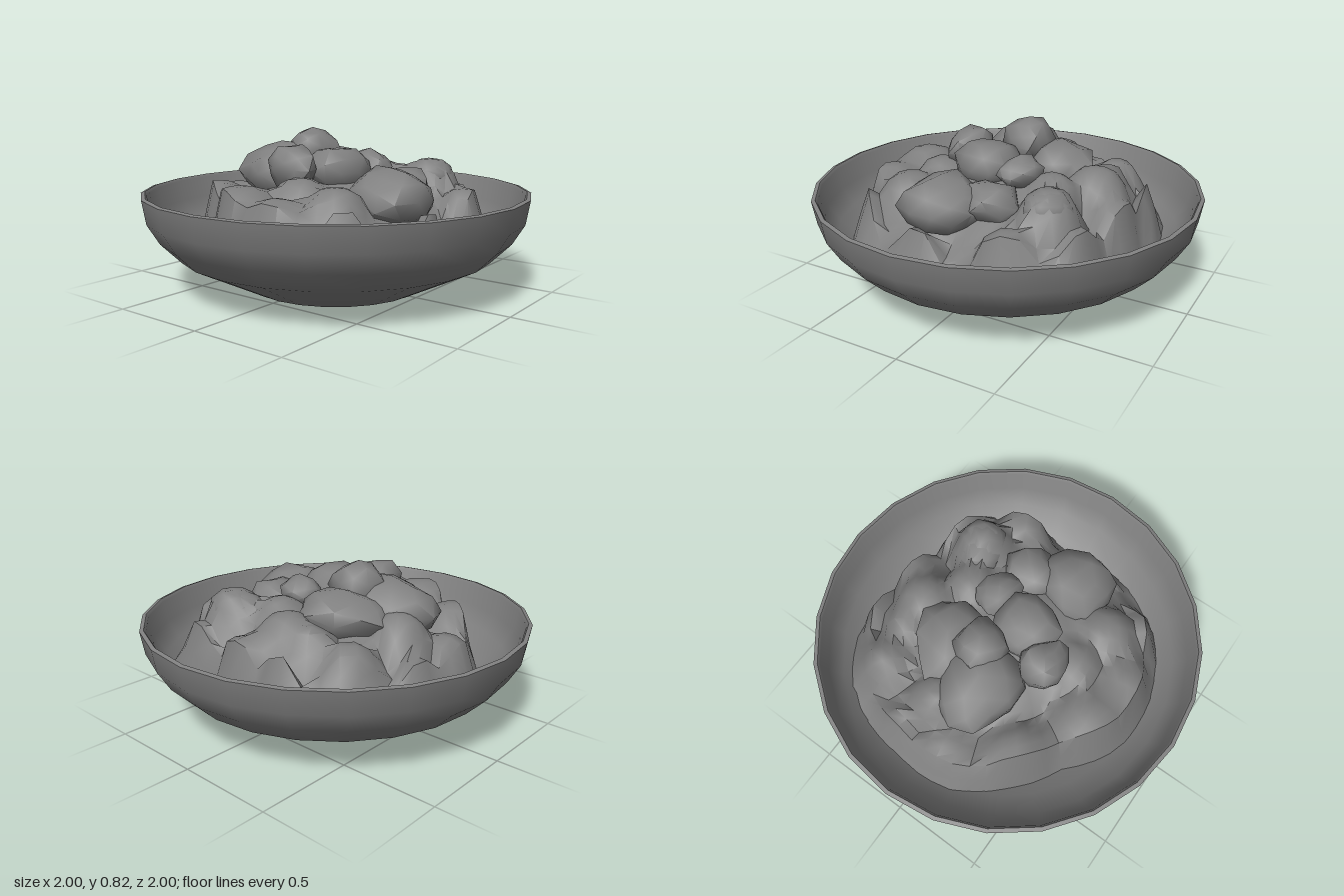
import * as THREE from 'three';
import { toCreasedNormals } from 'three/addons/utils/BufferGeometryUtils.js';

const material = new THREE.MeshStandardMaterial({ color: 0x808080 });
const TAU = Math.PI * 2;

function part(name, geometry, crease) {
  const mesh = new THREE.Mesh(toCreasedNormals(geometry, crease), material);
  mesh.name = name;
  return mesh;
}

// Inside wall of the bowl as [radius, height], from rim to centre
const INNER = [[0.97, 0.49], [0.95, 0.38], [0.89, 0.29], [0.78, 0.2], [0.44, 0.03], [0, 0.03]];

function bowlHeight(r) {
  const i = INNER.findIndex(([radius]) => r >= radius);
  const [r0, y0] = INNER[i - 1], [r1, y1] = INNER[i];
  return y1 + (y0 - y1) * (r - r1) / (r0 - r1);
}

function makeBowl() {
  const outer = [[0, 0], [0.46, 0], [0.82, 0.18], [0.92, 0.28], [0.98, 0.38], [1, 0.5], [0.98, 0.505]];
  const profile = [...outer, ...INNER].map(([r, y]) => new THREE.Vector2(r, y));
  return part('bowl', new THREE.LatheGeometry(profile, 24), 0.75);
}

// Reach of the heap at even angles, from +x towards +z
const OUTLINE = [0.72, 0.8, 0.82, 0.82, 0.8, 0.7, 0.74, 0.82, 0.82, 0.87, 0.84, 0.76, 0.74, 0.86, 0.8];

// Lumps that swell out of the heap: x, z, radius, top
const LUMPS = [
  [-0.1, -0.45, 0.16, 0.63], [-0.25, -0.45, 0.12, 0.6], [-0.46, -0.42, 0.14, 0.56], [0.33, -0.4, 0.15, 0.65],
  [0.58, -0.32, 0.15, 0.52], [0.4, -0.62, 0.16, 0.5], [-0.27, -0.72, 0.12, 0.54], [0.02, -0.6, 0.16, 0.52],
  [-0.46, 0.4, 0.18, 0.55], [-0.12, 0.58, 0.2, 0.57], [0.13, 0.62, 0.18, 0.54], [0.3, 0.4, 0.17, 0.58],
  [0.48, 0.57, 0.13, 0.51], [-0.62, 0.08, 0.16, 0.5], [-0.68, -0.2, 0.15, 0.47], [-0.7, 0.26, 0.13, 0.44],
  [0.66, 0.13, 0.12, 0.46], [-0.55, -0.58, 0.13, 0.45], [0.1, -0.3, 0.15, 0.63], [-0.47, -0.08, 0.15, 0.62],
  [0.06, 0.36, 0.16, 0.6],
];

// Lumpy heap that fills the bowl and meets its wall
function makeHeap() {
  const geometry = new THREE.RingGeometry(0.001, 1, 54, 16).rotateX(-Math.PI / 2);
  const p = geometry.attributes.position;
  const n = OUTLINE.length;
  for (let i = 0; i < p.count; i++) {
    const t = Math.hypot(p.getX(i), p.getZ(i));
    const a = ((Math.atan2(p.getZ(i), p.getX(i)) + TAU) % TAU) / TAU * n;
    const k = Math.floor(a);
    const reach = THREE.MathUtils.lerp(OUTLINE[k % n], OUTLINE[(k + 1) % n], a - k);
    const x = p.getX(i) * reach, z = p.getZ(i) * reach;
    const edge = bowlHeight(reach) - 0.02;
    let y = edge + (0.58 - edge) * (1 - Math.pow(t, 2.4));
    for (const [lx, lz, r, top] of LUMPS) {
      y = Math.max(y, top - 0.12 * Math.pow(Math.hypot(x - lx, z - lz) / r, 3));
    }
    y = THREE.MathUtils.lerp(y, edge, THREE.MathUtils.smoothstep(t, 0.88, 1));
    p.setXYZ(i, x, y, z);
  }
  return part('foodHeap', geometry, 0.9);
}

// Irregular rounded chunk: a sphere of few faces with dented sides
function makeChunk([x, y, z, rx, ry, rz], index) {
  const geometry = new THREE.IcosahedronGeometry(1, 1);
  const p = geometry.attributes.position;
  const v = new THREE.Vector3();
  for (let i = 0; i < p.count; i++) {
    v.fromBufferAttribute(p, i);
    v.multiplyScalar(1 + 0.1 * Math.sin(v.x * 4 + index * 1.7) + 0.08 * Math.sin(v.z * 5 + v.y * 3 + index));
    p.setXYZ(i, v.x, v.y, v.z);
  }
  geometry.scale(rx, ry, rz).rotateY(0.5 * Math.sin(index * 2)).translate(x, y, z);
  return part('foodChunk', geometry, 1.1);
}

// Pieces on top of the pile: x, y, z, half sizes in x, y, z
const CHUNKS = [
  [-0.32, 0.58, 0.06, 0.24, 0.16, 0.21],
  [-0.18, 0.68, -0.03, 0.16, 0.13, 0.13],
  [-0.06, 0.63, 0.26, 0.13, 0.12, 0.12],
  [0.06, 0.61, 0.07, 0.15, 0.13, 0.18],
  [-0.22, 0.57, -0.2, 0.25, 0.13, 0.17],
  [0.12, 0.62, -0.14, 0.14, 0.08, 0.1],
  [0.43, 0.51, 0.13, 0.18, 0.15, 0.22],
  [0.32, 0.55, -0.39, 0.14, 0.1, 0.13],
  [0.34, 0.53, -0.1, 0.16, 0.1, 0.15],
];

export function createModel() {
  const model = new THREE.Group();
  model.name = 'bowlOfFood';
  const food = new THREE.Group();
  food.name = 'food';
  food.add(makeHeap(), ...CHUNKS.map(makeChunk));
  model.add(makeBowl(), food);
  return model;
}
